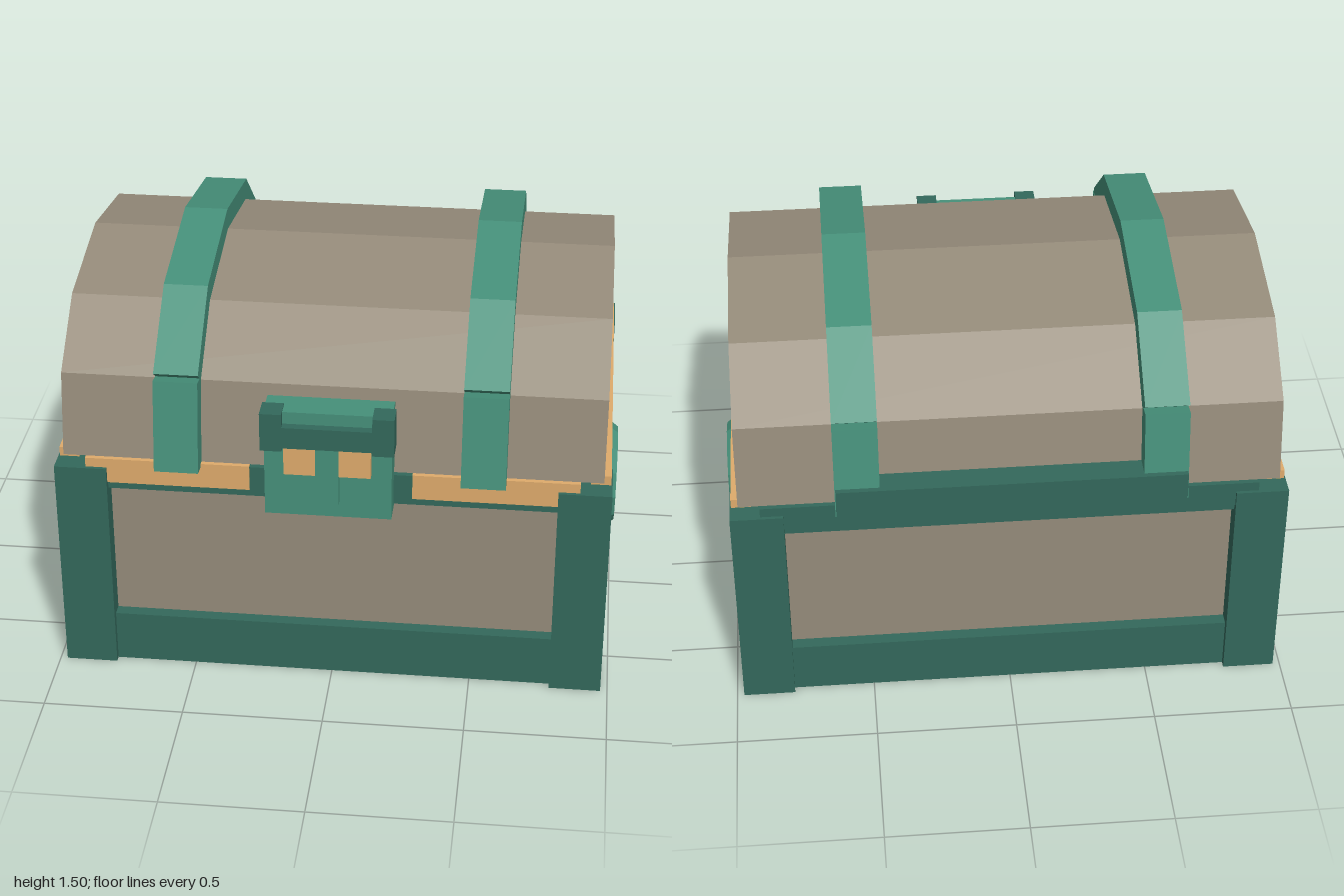
import * as THREE from 'three';

const mat = (color) => new THREE.MeshStandardMaterial({ color, flatShading: true });

export function createModel() {
  const root = new THREE.Group();
  root.name = 'chest';
  const wood = mat(0x958b7a), dark = mat(0x33685b), light = mat(0x46907a), gold = mat(0xdfab6c);
  const CZ = -0.022; // middle of the chest from front to back

  function add(name, geometry, material) {
    const mesh = new THREE.Mesh(geometry, material);
    mesh.name = name;
    root.add(mesh);
    return mesh;
  }
  // Box given by its limits on each axis
  function box(name, material, x0, x1, y0, y1, z0, z1) {
    const g = new THREE.BoxGeometry(x1 - x0, y1 - y0, z1 - z0);
    g.translate((x0 + x1) / 2, (y0 + y1) / 2, (z0 + z1) / 2);
    return add(name, g, material);
  }
  // Side profile of [depth, height] points, extruded across x
  function across(name, material, points, x0, x1) {
    const shape = new THREE.Shape(points.map(([z, y]) => new THREE.Vector2(z, y)));
    const g = new THREE.ExtrudeGeometry(shape, { depth: x1 - x0, bevelEnabled: false });
    g.rotateY(-Math.PI / 2);
    g.translate(x1, 0, CZ);
    return add(name, g, material);
  }
  const mirror = (pts) => pts.map(([z, y]) => [-z, y]).reverse();

  // Body with base boards and rim
  box('body', wood, -0.9, 0.9, 0.02, 0.75, CZ - 0.67, CZ + 0.67);
  box('baseBoards', dark, -0.945, 0.945, 0, 0.195, CZ - 0.715, CZ + 0.715);
  box('rim', dark, -0.945, 0.945, 0.73, 0.76, CZ - 0.715, CZ + 0.715);

  // Corner posts
  for (const sx of [-1, 1]) {
    for (const sz of [-1, 1]) {
      const post = box('cornerPost', dark, -0.0925, 0.0925, 0, 0.82, -0.0935, 0.0935);
      post.position.set(sx * 0.8825, 0, CZ + sz * 0.6465);
    }
  }

  // Trim under the lid
  for (const s of [-1, 1]) {
    const side = box('sideTrim', gold, -0.035, 0.035, 0.76, 0.855, -0.69, 0.64);
    side.position.x = s * 0.935;
    const front = box('frontTrim', gold, -0.29, 0.29, 0.76, 0.855, 0.635, 0.705);
    front.position.x = s * 0.575;
  }
  box('latchBacking', dark, -0.285, 0.285, 0.76, 0.85, 0.635, 0.7);
  box('backTrim', dark, -0.87, 0.87, 0.76, 0.855, -0.75, -0.685);

  // Faceted lid
  const arch = [[0.71, 0.855], [0.662, 1.155], [0.427, 1.345]];
  across('lid', wood, [...arch, [0, 1.42], ...mirror(arch)], -0.945, 0.945);

  // Straps: a bent top piece and two leaning lower pieces
  const outer = [[0.72, 1.2], [0.46, 1.415]];
  const inner = [[0.427, 1.335], [0.655, 1.15]];
  const top = [...outer, [0, 1.498], ...mirror(outer), ...mirror(inner), [0, 1.41], ...inner];
  const lower = [[0.7, 0.84], [0.785, 0.85], [0.735, 1.18], [0.65, 1.165]];
  for (const x of [-0.61, 0.455]) {
    across('strapTop', light, top, x, x + 0.155);
    across('strapFront', light, lower, x, x + 0.155);
    across('strapBack', light, mirror(lower), x, x + 0.155);
  }

  // Hinge bar at the back
  box('hingeBar', dark, -0.607, 0.607, 0.82, 0.955, -0.81, -0.715);

  // Ring handles on the sides
  for (const s of [-1, 1]) {
    const g = new THREE.TorusGeometry(0.159, 0.054, 5, 12);
    g.rotateY(Math.PI / 2);
    add('ringHandle', g, light).position.set(s * 0.949, 0.475, CZ);
  }

  // Latch
  box('latchPlate', light, -0.22, 0.22, 0.72, 1.125, 0.67, 0.782);
  box('latchTongue', light, -0.04, 0.04, 0.785, 1.0, 0.77, 0.812);
  box('latchCapBar', dark, -0.16, 0.16, 1.0, 1.08, 0.73, 0.813);
  for (const s of [-1, 1]) {
    const end = box('latchCapEnd', dark, -0.0375, 0.0375, 0.987, 1.13, 0.73, 0.813);
    end.position.x = s * 0.1925;
    const inlay = box('latchInlay', gold, -0.055, 0.055, 0.895, 1.0, 0.77, 0.808);
    inlay.position.x = s * 0.095;
  }

  return root;
}
